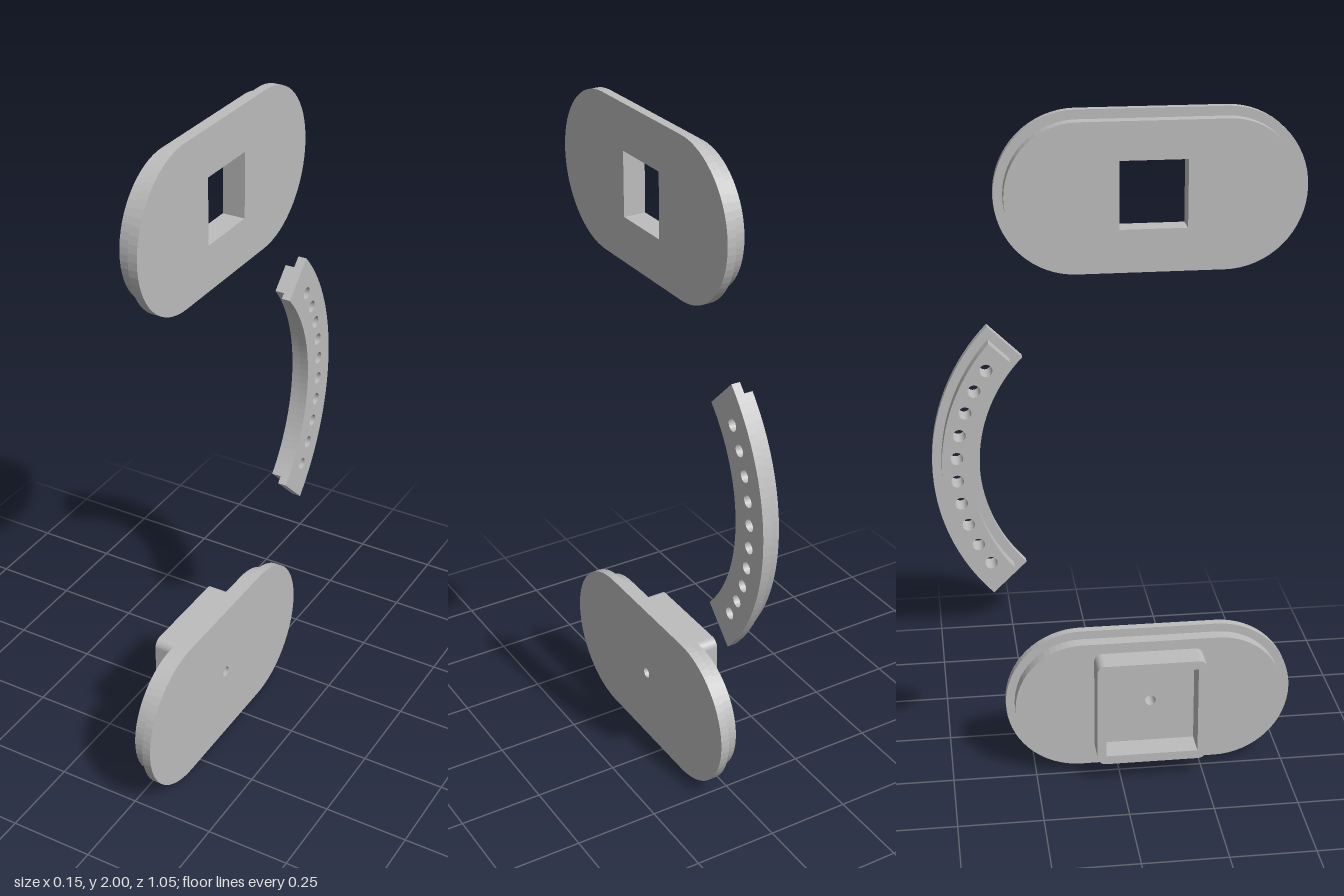
import * as THREE from 'three';

// Shapes are drawn in (u, y) with u = -z, then extruded along +x.
const X = { box: -0.074, lip: 0.007, flange: 0.047, face: 0.073 };
const STEP = 0.026;
const PLATE_U = -0.096;

export function createModel() {
  const grey = new THREE.MeshStandardMaterial({ color: 0xbdbdbd });
  grey.name = 'lightGrey';
  const model = new THREE.Group();
  model.name = 'hatchCovers';

  function add(parent, name, shape, holes, x0, x1) {
    shape.holes.push(...holes);
    const geo = new THREE.ExtrudeGeometry(shape, { depth: x1 - x0, bevelEnabled: false, curveSegments: 16 });
    geo.rotateY(Math.PI / 2).translate(x0, 0, 0);
    const mesh = new THREE.Mesh(geo, grey);
    mesh.name = name;
    parent.add(mesh);
  }

  // Wide flange with a smaller lip behind it
  function addStepped(name, outline, holes) {
    const group = new THREE.Group();
    group.name = name;
    add(group, name + 'Flange', outline(0), holes(), X.flange, X.face);
    add(group, name + 'Lip', outline(STEP), holes(), X.lip, X.flange);
    model.add(group);
    return group;
  }

  const stadium = (cy) => (inset) => {
    const r = 0.226 - inset, s = 0.205;
    const shape = new THREE.Shape();
    shape.absarc(PLATE_U + s, cy, r, -Math.PI / 2, Math.PI / 2, false);
    shape.absarc(PLATE_U - s, cy, r, Math.PI / 2, Math.PI * 1.5, false);
    shape.closePath();
    return shape;
  };

  // Rectangle with corner radius r (0 for sharp corners)
  function square(cu, cy, h, r) {
    const shape = new THREE.Shape();
    [[1, -1], [1, 1], [-1, 1], [-1, -1]].forEach(([a, b], i) => {
      const start = (i - 1) * Math.PI / 2;
      if (r) shape.absarc(cu + a * (h - r), cy + b * (h - r), r, start, start + Math.PI / 2, false);
      else if (i) shape.lineTo(cu + a * h, cy + b * h);
      else shape.moveTo(cu + a * h, cy + b * h);
    });
    shape.closePath();
    return shape;
  }

  const circle = (u, y, r) => new THREE.Path().absarc(u, y, r, 0, Math.PI * 2, true);

  // Upper plate with a square window
  addStepped('upperPlate', stadium(1.774), () => [square(PLATE_U, 1.774, 0.094, 0)]);

  // Curved strip with a row of ten holes
  const cu = -0.059, cy = 1.003;
  const arc = (inset) => {
    const r0 = 0.45 + inset, r1 = 0.584 - inset, end = 0.769;
    const a0 = end - Math.asin(inset / r0), a1 = end - Math.asin(inset / r1);
    const shape = new THREE.Shape();
    shape.absarc(cu, cy, r1, -a1, a1, false);
    shape.absarc(cu, cy, r0, a0, -a0, true);
    shape.closePath();
    return shape;
  };
  addStepped('curvedStrip', arc, () => Array.from({ length: 10 }, (_, i) => {
    const a = (i - 4.5) * 0.133;
    return circle(cu + 0.517 * Math.cos(a), cy + 0.517 * Math.sin(a), 0.018);
  }));

  // Lower plate with a pin hole and an open box on its back
  const lower = addStepped('lowerPlate', stadium(0.226), () => [circle(PLATE_U, 0.228, 0.016)]);
  add(lower, 'boxWalls', square(-0.091, 0.23, 0.164, 0.025), [square(-0.091, 0.23, 0.137, 0)], X.box, X.lip);

  return model;
}
